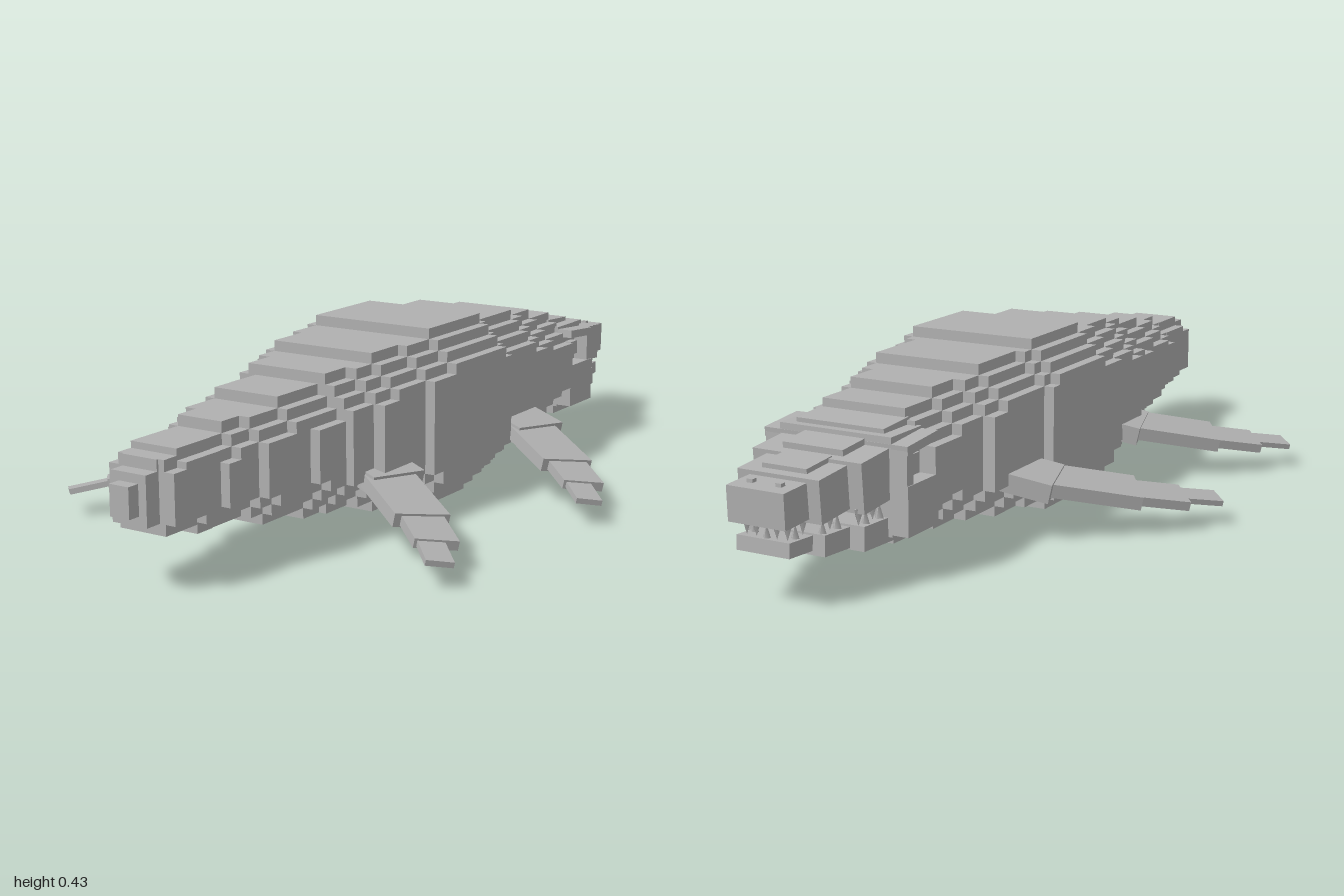
import * as THREE from 'three';

export function createModel() {
  const model = new THREE.Group();
  model.name = 'marineReptile';
  const skin = new THREE.MeshStandardMaterial({ color: 0xb0b0b0 });
  skin.name = 'stone grey';

  // Box given by its extents
  function box(parent, name, x0, x1, y0, y1, z0, z1, tilt = 0) {
    const m = new THREE.Mesh(new THREE.BoxGeometry(x1 - x0, y1 - y0, z1 - z0), skin);
    m.position.set((x0 + x1) / 2, (y0 + y1) / 2, (z0 + z1) / 2);
    m.rotation.x = tilt;
    m.name = name;
    parent.add(m);
    return m;
  }

  // Body outline as steps: [z where the step ends, value], from neck to tail
  const halfWidth = [[-0.41, 0.18], [-0.18, 0.21], [0.18, 0.235], [0.35, 0.21], [0.43, 0.18],
    [0.53, 0.16], [0.68, 0.135], [0.78, 0.108], [0.93, 0.085], [0.97, 0.045], [1, 0.025]];
  const top = [[-0.5, 0.35], [-0.35, 0.375], [-0.15, 0.4], [0.085, 0.425], [0.29, 0.4],
    [0.43, 0.375], [0.58, 0.35], [0.74, 0.325], [0.89, 0.3], [0.935, 0.285], [0.97, 0.26], [1, 0.24]];
  const bottom = [[-0.5, 0.08], [-0.28, 0.055], [-0.08, 0.03], [0.14, 0], [0.29, 0.03],
    [0.49, 0.055], [0.64, 0.08], [0.83, 0.105], [0.93, 0.125], [0.97, 0.15], [1, 0.172]];
  const at = (table, z) => table.find(([end]) => z < end)[1];
  const cuts = [-0.61, ...new Set([...halfWidth, ...top, ...bottom].map(([z]) => z))].sort((a, b) => a - b);

  // Each slab is crossed boxes that make stepped corners
  const body = new THREE.Group();
  body.name = 'body';
  model.add(body);
  const step = 0.025;
  for (let i = 0; i < cuts.length - 1; i++) {
    const mid = (cuts[i] + cuts[i + 1]) / 2;
    const w = at(halfWidth, mid), t = at(top, mid), b = at(bottom, mid);
    const n = w > 0.15 ? 3 : w > 0.1 ? 2 : w > 0.06 ? 1 : 0;
    for (let k = 0; k <= n; k++) {
      const inset = (n - k) * step;
      box(body, 'bodySlab', -(w - k * step), w - k * step, b + inset, t - inset, cuts[i], cuts[i + 1]);
    }
  }

  // Skull with open eye sockets
  const head = new THREE.Group();
  head.name = 'head';
  model.add(head);
  box(head, 'skullCore', -0.14, 0.14, 0.1, 0.315, -0.72, -0.6);
  box(head, 'cheeks', -0.18, 0.18, 0.105, 0.215, -0.72, -0.6);
  box(head, 'throat', -0.13, 0.13, 0.08, 0.12, -0.7, -0.6);
  box(head, 'brow', -0.18, 0.18, 0.285, 0.305, -0.72, -0.6, -0.08);
  box(head, 'crown', -0.11, 0.11, 0.3, 0.328, -0.7, -0.6, -0.06);
  for (const s of [-1, 1]) {
    const post = box(head, 'socketFront', -0.02, 0.02, 0.21, 0.29, -0.72, -0.695);
    post.position.x = s * 0.158;
    const eye = box(head, 'eye', -0.012, 0.012, 0.235, 0.27, -0.675, -0.64);
    eye.position.x = s * 0.147;
  }

  // Upper jaw, tapering and sloping down to the snout
  box(head, 'upperJaw', -0.135, 0.135, 0.178, 0.288, -0.82, -0.7, -0.08);
  box(head, 'upperJaw', -0.1, 0.1, 0.178, 0.272, -0.92, -0.8, -0.08);
  box(head, 'snout', -0.07, 0.07, 0.18, 0.257, -1, -0.9, -0.04);
  box(head, 'nosePlate', -0.075, 0.075, 0.27, 0.303, -0.8, -0.69, -0.08);
  box(head, 'nosePlate', -0.055, 0.055, 0.26, 0.283, -0.9, -0.81, -0.08);
  for (const s of [-1, 1]) {
    const nostril = box(head, 'nostril', -0.007, 0.007, 0.255, 0.264, -0.97, -0.956);
    nostril.position.x = s * 0.035;
  }

  // Lower jaw
  box(head, 'lowerJaw', -0.13, 0.13, 0.09, 0.143, -0.81, -0.68, 0.04);
  box(head, 'lowerJaw', -0.095, 0.095, 0.098, 0.143, -0.9, -0.79, 0.06);
  box(head, 'chin', -0.065, 0.065, 0.112, 0.144, -0.98, -0.88, 0.06);

  // Teeth along both jaws
  const toothShape = new THREE.ConeGeometry(0.013, 0.038, 4);
  function tooth(x, z, up) {
    const m = new THREE.Mesh(toothShape, skin);
    m.position.set(x, up ? 0.156 : 0.164, z);
    if (!up) m.rotation.x = Math.PI;
    m.name = up ? 'lowerTooth' : 'upperTooth';
    head.add(m);
  }
  for (let i = 0; i < 10; i++) {
    const z = -0.73 - i * 0.026;
    const x = z > -0.81 ? 0.115 : z > -0.9 ? 0.08 : 0.05;
    for (const s of [-1, 1]) tooth(s * x, z, i % 2 === 0);
  }
  for (const x of [-0.025, 0, 0.025]) tooth(x, -0.965, x === 0);

  // Flipper segments: outer edge centre x and z, yaw in degrees, length, width, thickness
  const segments = [
    [0.278, -0.248, 17, 0.18, 0.15, 0.045],
    [0.42, -0.12, 36, 0.23, 0.13, 0.032],
    [0.503, -0.045, 42, 0.15, 0.1, 0.022],
    [0.557, 0.03, 46, 0.13, 0.062, 0.013],
  ];
  const droop = -0.225;
  function flipper(name, side, dx, dz) {
    const hinge = new THREE.Group();
    hinge.name = name;
    hinge.position.set(side * (0.2 + dx), 0.137, dz);
    hinge.rotation.z = side * droop;
    for (const [x, z, yaw, length, width, thick] of segments) {
      const a = THREE.MathUtils.degToRad(yaw);
      const m = new THREE.Mesh(new THREE.BoxGeometry(length, thick, width), skin);
      const cx = (x - 0.2) / Math.cos(droop) - Math.cos(a) * length / 2;
      m.position.set(side * cx, 0, z - Math.sin(a) * length / 2);
      m.rotation.y = -side * a;
      m.name = 'flipperSegment';
      hinge.add(m);
    }
    model.add(hinge);
  }
  for (const side of [-1, 1]) {
    const word = side > 0 ? 'left' : 'right';
    flipper(word + 'HeadEndFlipper', side, 0, 0);
    flipper(word + 'TailEndFlipper', side, -0.052, 0.57);
  }
  return model;
}
